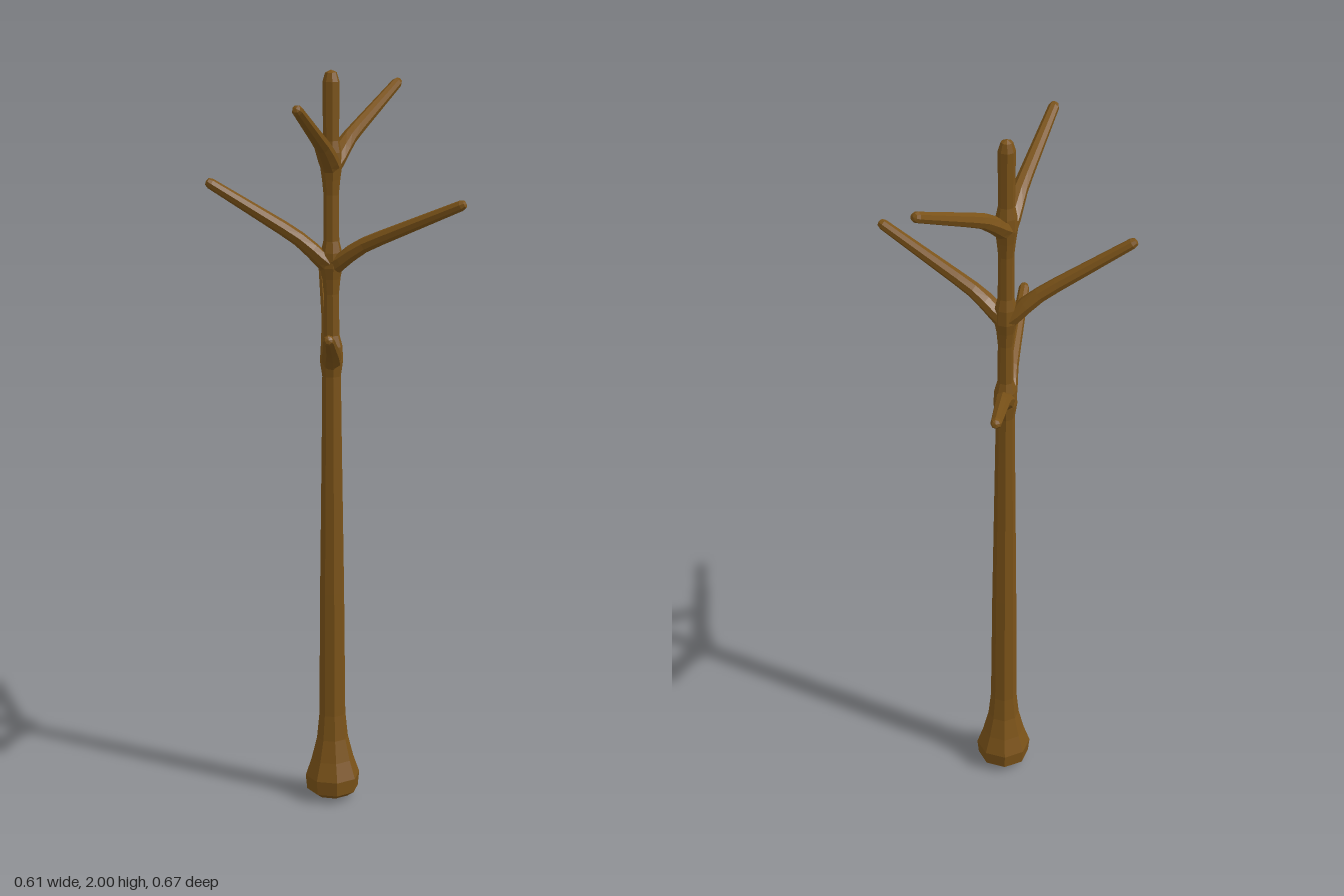
import * as THREE from 'three';

const SIDES = 8;
const AXIS_X = -0.05, AXIS_Z = 0.015;

const bark = new THREE.MeshStandardMaterial({ color: 0x7a5218, flatShading: true });

// Faceted solid of revolution from [radius, height] pairs, bottom to top
function turned(profile) {
  return new THREE.LatheGeometry(profile.map(([r, y]) => new THREE.Vector2(r, y)), SIDES);
}

function makeMesh(name, geometry) {
  geometry.computeVertexNormals();
  const mesh = new THREE.Mesh(geometry, bark);
  mesh.name = name;
  return mesh;
}

// Tapered branch from the trunk axis at height y to the tip, sagging into the trunk at its root
function makeBranch(name, y, tipX, tipY, tipZ) {
  const dir = new THREE.Vector3(tipX - AXIS_X, tipY - y, tipZ - AXIS_Z);
  const length = dir.length() + 0.008;
  dir.normalize();
  const geometry = turned([
    [0, 0], [0.027, 0], [0.027, 0.03], [0.025, 0.06], [0.021, 0.1], [0.019, 0.15],
    [0.014, length - 0.014], [0.010, length - 0.003], [0, length],
  ]);
  geometry.applyQuaternion(new THREE.Quaternion().setFromUnitVectors(new THREE.Vector3(0, 1, 0), dir));
  const pos = geometry.attributes.position;
  for (let i = 0; i < pos.count; i++) {
    const reach = Math.hypot(pos.getX(i), pos.getZ(i));
    const sag = Math.max(0, 1 - reach / 0.11) ** 2;
    pos.setY(i, pos.getY(i) - 0.035 * sag);
  }
  const mesh = makeMesh(name, geometry);
  mesh.position.y = y;
  return mesh;
}

export function createModel() {
  const tree = new THREE.Group();
  tree.name = 'bareTree';
  tree.position.set(AXIS_X, 0, AXIS_Z);

  // Trunk with a bulbous foot, slight collars at the forks and a rounded top
  tree.add(makeMesh('trunk', turned([
    [0, 0.005], [0.05, 0.015], [0.071, 0.03], [0.075, 0.07], [0.058, 0.12], [0.043, 0.18], [0.036, 0.25],
    [0.033, 0.6], [0.026, 1.1], [0.025, 1.2], [0.031, 1.24], [0.029, 1.28], [0.021, 1.31],
    [0.020, 1.42], [0.024, 1.46], [0.030, 1.49], [0.028, 1.53], [0.021, 1.56],
    [0.020, 1.68], [0.024, 1.72], [0.029, 1.755], [0.027, 1.79], [0.021, 1.82],
    [0.022, 1.97], [0.015, 1.993], [0, 2],
  ])));

  // Three forks, each with a pair of branches: name, root height, tip x, y, z
  const branches = [
    ['lowerBackBranch', 1.27, -0.295, 1.445, -0.292],
    ['lowerFrontBranch', 1.26, 0.153, 1.376, 0.315],
    ['middleLeftBranch', 1.515, 0.298, 1.674, -0.071],
    ['middleRightBranch', 1.515, -0.284, 1.718, 0.227],
    ['upperBackBranch', 1.775, -0.071, 1.937, -0.325],
    ['upperFrontBranch', 1.775, 0.066, 1.937, 0.323],
  ];
  for (const b of branches) tree.add(makeBranch(...b));

  const model = new THREE.Group();
  model.name = 'model';
  model.add(tree);
  return model;
}
